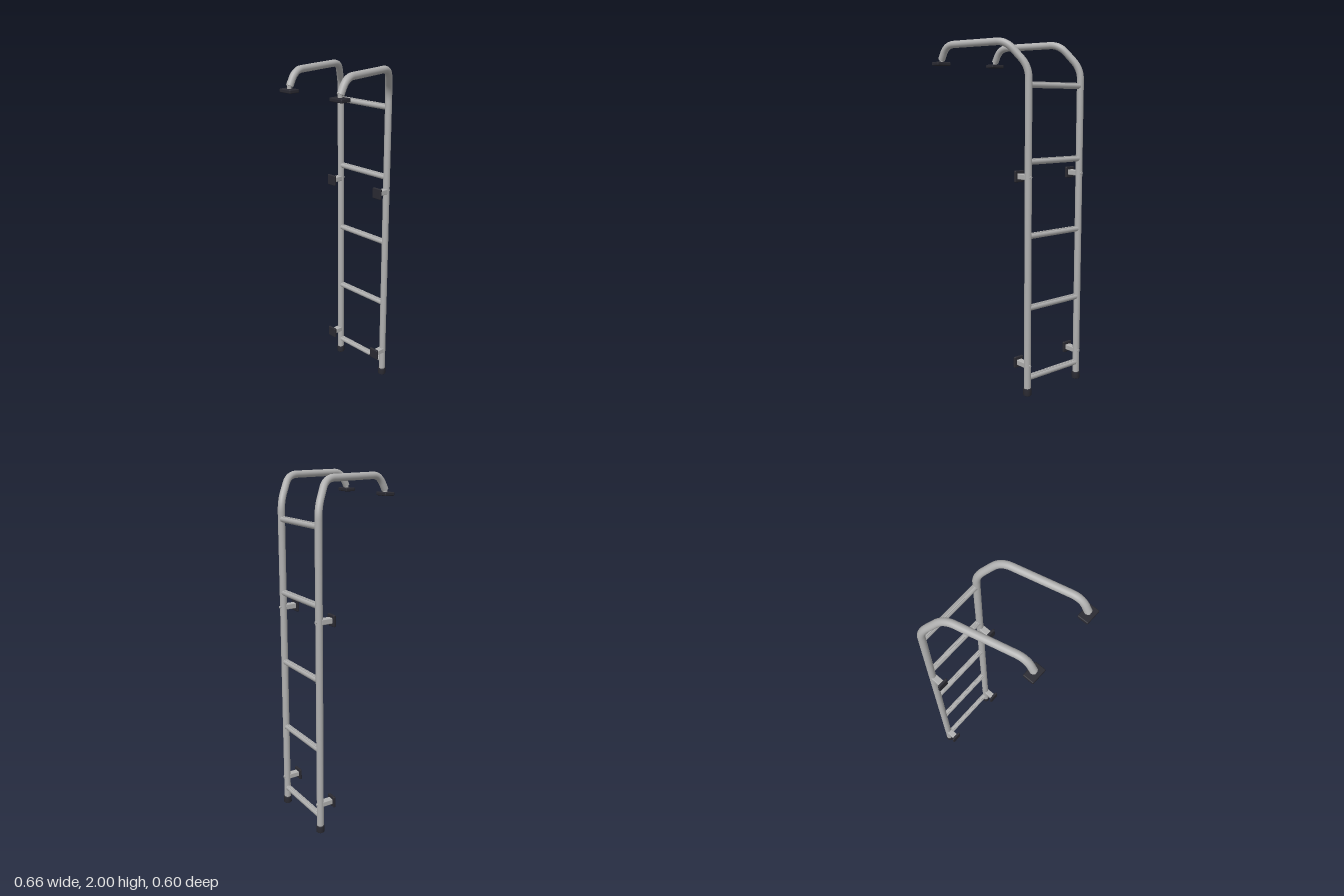
import * as THREE from 'three';
import { RoundedBoxGeometry } from 'three/addons/geometries/RoundedBoxGeometry.js';

const metal = new THREE.MeshStandardMaterial({ color: 0xb0b0b0 });
metal.name = 'brushed metal';
const rubber = new THREE.MeshStandardMaterial({ color: 0x2a2a32 });
rubber.name = 'dark rubber';

const RAIL_X = [-0.297, 0.097];
const RAIL_Z = -0.278;
const RAIL_R = 0.02;
const V = (x, y, z) => new THREE.Vector3(x, y, z);

function add(parent, name, geometry, material, x = 0, y = 0, z = 0) {
  const mesh = new THREE.Mesh(geometry, material);
  mesh.name = name;
  mesh.position.set(x, y, z);
  parent.add(mesh);
  return mesh;
}

// Straight runs joined by rounded corners
function bentPath(points, trims) {
  const path = new THREE.CurvePath();
  let start = points[0];
  for (let i = 1; i < points.length - 1; i++) {
    const p = points[i];
    const toward = (q) => p.clone().add(q.clone().sub(p).setLength(trims[i - 1]));
    const a = toward(points[i - 1]), b = toward(points[i + 1]);
    path.add(new THREE.LineCurve3(start, a));
    path.add(new THREE.QuadraticBezierCurve3(a, p, b));
    start = b;
  }
  path.add(new THREE.LineCurve3(start, points[points.length - 1]));
  return path;
}

// Side rail: upright, angled shoulder, roof arm and hooked end
function makeRail() {
  const rail = new THREE.Group();
  const end = V(0.184, 1.9, 0.266);
  const hook = V(0.18, 1.98, 0.222);
  const path = bentPath(
    [V(0, 0.02, RAIL_Z), V(0, 1.845, RAIL_Z), V(0.08, 1.98, -0.185), hook, end],
    [0.06, 0.06, 0.055]);
  add(rail, 'railTube', new THREE.TubeGeometry(path, 260, RAIL_R, 20, false), metal);

  // Closed end of the hook
  const cap = add(rail, 'railEnd', new THREE.CircleGeometry(RAIL_R, 20), metal, end.x, end.y, end.z);
  cap.lookAt(end.clone().add(end.clone().sub(hook)));

  // Roof pad and its short neck
  add(rail, 'padNeck', new THREE.CylinderGeometry(0.012, 0.012, 0.024, 16), metal, 0.184, 1.894, 0.268);
  add(rail, 'roofPad', new RoundedBoxGeometry(0.09, 0.02, 0.063, 2, 0.005), rubber, 0.184, 1.877, 0.269);

  // Rubber foot with softened rims
  const foot = [[0, 0], [0.02, 0], [0.024, 0.004], [0.024, 0.04], [0.021, 0.044], [0.019, 0.044]];
  add(rail, 'foot', new THREE.LatheGeometry(foot.map(([r, y]) => new THREE.Vector2(r, y)), 20),
    rubber, 0, 0, RAIL_Z);

  // Wall stand-offs with pad and bolt head
  for (const y of [0.18, 1.255]) {
    const bracket = new THREE.Group();
    bracket.name = 'wallBracket';
    bracket.position.y = y;
    add(bracket, 'standoff', new RoundedBoxGeometry(0.037, 0.032, 0.07, 2, 0.005), metal, 0, 0, -0.238);
    add(bracket, 'wallPad', new RoundedBoxGeometry(0.065, 0.065, 0.015, 2, 0.005), rubber, 0, 0, -0.2);
    const bolt = add(bracket, 'bolt', new THREE.CylinderGeometry(0.008, 0.008, 0.014, 12), metal, 0, 0, -0.295);
    bolt.rotation.x = Math.PI / 2;
    rail.add(bracket);
  }
  return rail;
}

// Rung with raised grip ribs on its top
function makeRung(y) {
  const rung = new THREE.Group();
  rung.name = 'rung';
  rung.position.set((RAIL_X[0] + RAIL_X[1]) / 2, y, RAIL_Z);
  const bar = add(rung, 'rungBar', new THREE.CylinderGeometry(0.0165, 0.0165, 0.38, 20), metal);
  bar.rotation.z = Math.PI / 2;
  for (const z of [-0.008, 0, 0.008]) {
    const top = Math.sqrt(0.0165 ** 2 - z * z);
    add(rung, 'gripRib', new THREE.BoxGeometry(0.35, 0.004, 0.003), metal, 0, top, z);
  }
  return rung;
}

export function createModel() {
  const ladder = new THREE.Group();
  ladder.name = 'ladder';
  RAIL_X.forEach((x, i) => {
    const rail = makeRail();
    rail.name = i ? 'leftRail' : 'rightRail';
    rail.position.x = x;
    ladder.add(rail);
  });
  for (let i = 0; i < 5; i++) ladder.add(makeRung(0.104 + i * 0.4115));
  return ladder;
}
